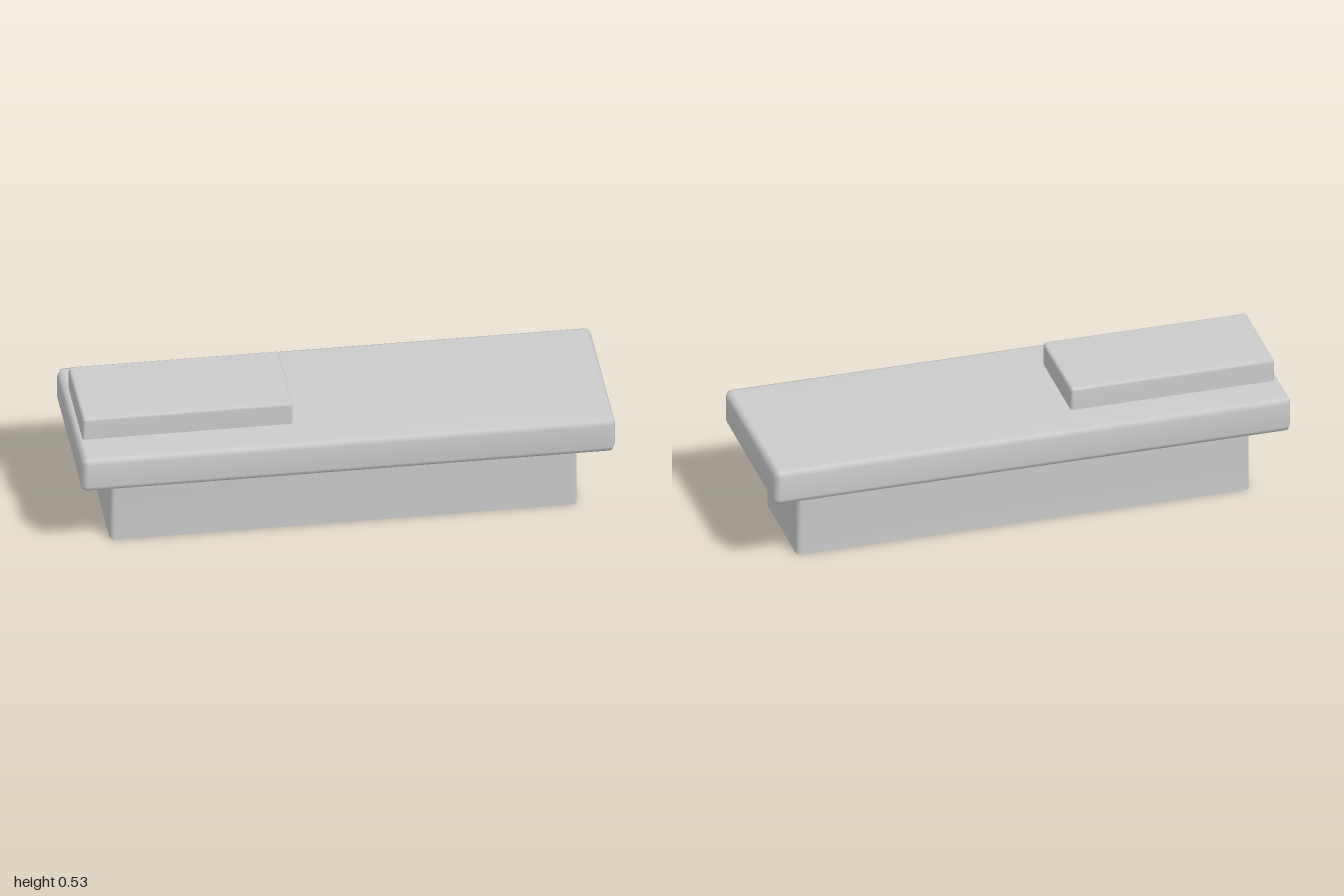
import * as THREE from 'three';

const material = new THREE.MeshStandardMaterial({ color: 0xcccccc, side: THREE.DoubleSide });
const CORNER_STEPS = 2;

// Rounded rectangle outline at height y: half sizes hx, hz and corner radius r
function ring(y, hx, hz, r) {
  const points = [];
  [[1, 1], [-1, 1], [-1, -1], [1, -1]].forEach(([sx, sz], corner) => {
    for (let i = 0; i <= CORNER_STEPS; i++) {
      const a = (corner + i / CORNER_STEPS) * Math.PI / 2;
      points.push([sx * (hx - r) + r * Math.cos(a), y, sz * (hz - r) + r * Math.sin(a)]);
    }
  });
  return points;
}

// Smooth skin through stacked outlines, closed on top and open below
function loft(name, sections) {
  const rings = sections.map((s) => ring(...s));
  const n = rings[0].length;
  const positions = rings.flat(2);
  const index = [];
  for (let k = 0; k < rings.length - 1; k++) {
    for (let i = 0; i < n; i++) {
      const a = k * n + i, b = k * n + (i + 1) % n;
      index.push(a, a + n, b, b, a + n, b + n);
    }
  }
  const center = rings.length * n, last = center - n;
  positions.push(0, sections[sections.length - 1][0], 0);
  for (let i = 0; i < n; i++) index.push(center, last + (i + 1) % n, last + i);

  const geometry = new THREE.BufferGeometry();
  geometry.setAttribute('position', new THREE.Float32BufferAttribute(positions, 3));
  geometry.setIndex(index);
  geometry.computeVertexNormals();
  const mesh = new THREE.Mesh(geometry, material);
  mesh.name = name;
  return mesh;
}

// Two-step rounded top edge ending at height y
function roundedTop(y, hx, hz, r) {
  return [0, 45, 90].map((deg) => {
    const a = THREE.MathUtils.degToRad(deg);
    const inset = r * (1 - Math.cos(a));
    return [y - r + r * Math.sin(a), hx - inset, hz - inset, Math.max(r - inset, 0.001)];
  });
}

export function createModel() {
  const model = new THREE.Group();
  model.name = 'slabOnPedestal';

  // Hollow pedestal flaring into the wide slab as one open-bottomed shell
  const edge = 0.025;
  const slabTop = roundedTop(0.438, 1, 0.333, edge);
  const slabBottom = slabTop.map(([y, ...rest]) => [0.733 - y, ...rest]).reverse();
  model.add(loft('pedestalAndSlab', [
    [0, 0.875, 0.203, 0.018],
    [0.27, 0.875, 0.203, 0.018],
    [0.288, 0.882, 0.21, 0.025],
    [0.295, 0.9, 0.228, 0.043],
    ...slabBottom,
    ...slabTop,
  ]));

  // Low raised block on the right-hand end of the slab
  const block = loft('raisedBlock', [
    [0.437, 0.394, 0.187, 0.012],
    ...roundedTop(0.527, 0.394, 0.187, 0.012),
  ]);
  block.position.x = -0.582;
  model.add(block);

  return model;
}
